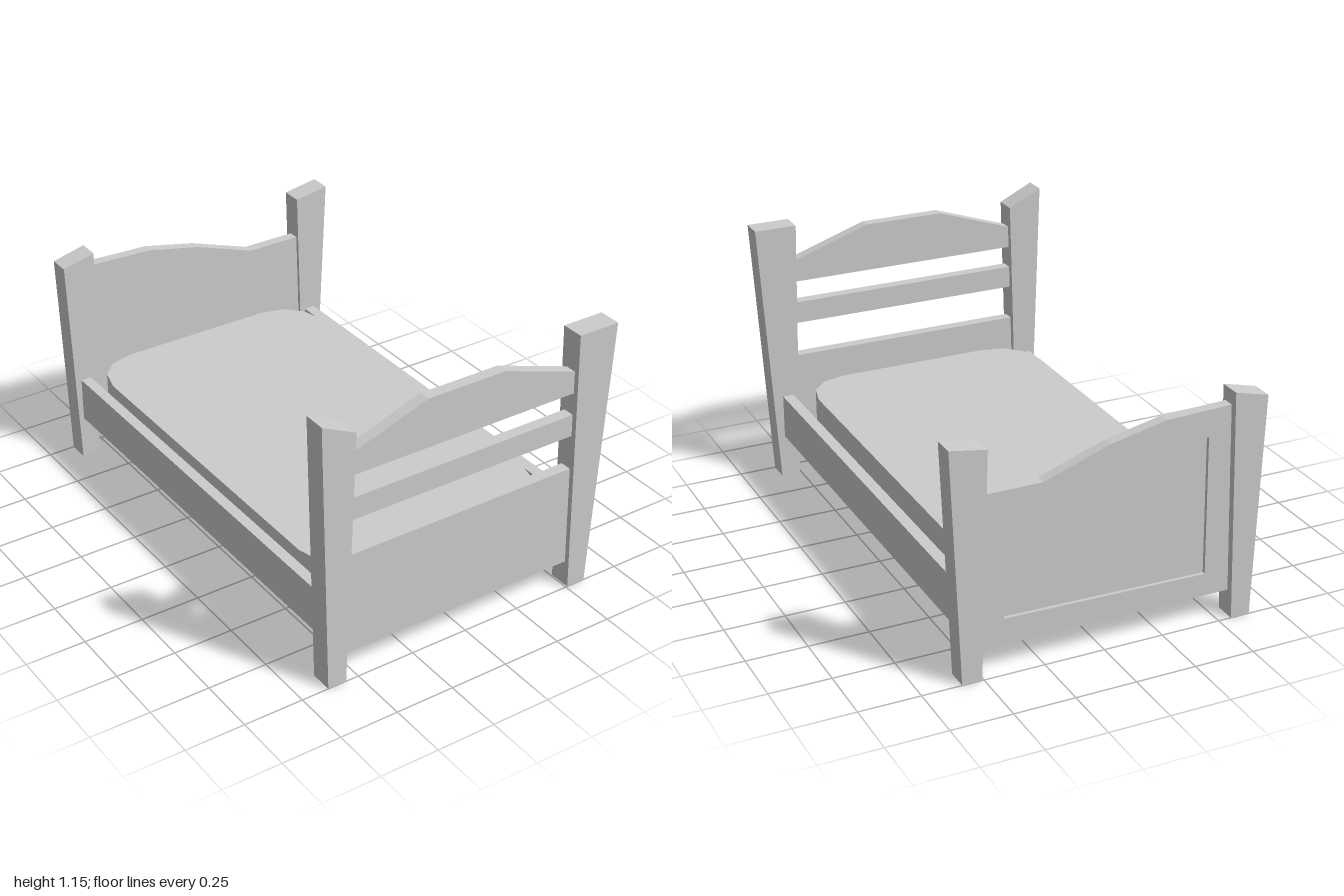
import * as THREE from 'three';

const material = new THREE.MeshStandardMaterial({ color: 0xcccccc, flatShading: true });

// Inner faces of the tapered posts at height y
const innerLeft = (y) => -0.555 + 0.032 * y;
const innerRight = (y) => 0.507 - 0.023 * y;

function toShape(points) {
  return new THREE.Shape(points.map(([x, y]) => new THREE.Vector2(x, y)));
}

// Extrudes a front outline between two depths
function slab(name, points, z0, z1, hole) {
  const shape = toShape(points);
  if (hole) shape.holes.push(toShape(hole));
  const geometry = new THREE.ExtrudeGeometry(shape, { depth: z1 - z0, bevelEnabled: false });
  geometry.translate(0, 0, z0);
  const mesh = new THREE.Mesh(geometry, material);
  mesh.name = name;
  return mesh;
}

// Board between two posts: straight bottom, top given from right to left
function boardOutline(bottom, rightTop, middle, leftTop) {
  return [
    [innerLeft(bottom), bottom], [innerRight(bottom), bottom],
    [innerRight(rightTop), rightTop], ...middle, [innerLeft(leftTop), leftTop],
  ];
}

function box(name, x0, x1, y0, y1, z0, z1) {
  const geometry = new THREE.BoxGeometry(x1 - x0, y1 - y0, z1 - z0);
  geometry.translate((x0 + x1) / 2, (y0 + y1) / 2, (z0 + z1) / 2);
  const mesh = new THREE.Mesh(geometry, material);
  mesh.name = name;
  return mesh;
}

export function createModel() {
  const bed = new THREE.Group();
  bed.name = 'bed';

  // Crooked tapered posts
  const posts = [
    ['tallPostRight', [[-0.635, 0], [-0.555, 0], [-0.52, 1.08], [-0.665, 1.15]], 0.905, 1],
    ['tallPostLeft', [[0.507, 0], [0.59, 0], [0.66, 1.15], [0.48, 1.15]], 0.905, 1],
    ['shortPostRight', [[-0.635, 0], [-0.555, 0], [-0.524, 0.96], [-0.665, 0.925]], -1, -0.91],
    ['shortPostLeft', [[0.507, 0], [0.588, 0], [0.635, 0.96], [0.484, 0.935]], -1, -0.91],
  ];
  for (const post of posts) bed.add(slab(...post));

  // Slatted end: panel, slat and arched top rail
  const slats = [
    ['slattedEndPanel', boardOutline(0.11, 0.55, [], 0.55)],
    ['slattedEndSlat', boardOutline(0.7, 0.795, [], 0.795)],
    ['slattedEndArch', boardOutline(0.89, 0.985, [[0.15, 1.097], [-0.195, 1.097]], 0.985)],
  ];
  for (const [name, outline] of slats) bed.add(slab(name, outline, 0.93, 0.978));

  // Solid end with a wavy top and a recessed field on its outer side
  const solid = boardOutline(0.11, 0.745, [[0.25, 0.745], [-0.02, 0.84], [-0.25, 0.89]], 0.9);
  const field = [[-0.445, 0.205], [0.405, 0.22], [0.4, 0.635], [0.1, 0.685], [-0.14, 0.765], [-0.435, 0.785]];
  bed.add(slab('solidEndPanel', solid, -0.955, -0.925));
  bed.add(slab('solidEndFrame', solid, -0.97, -0.955, field));

  // Side rails
  bed.add(box('sideRailRight', -0.62, -0.575, 0.19, 0.38, -0.91, 0.905));
  bed.add(box('sideRailLeft', 0.522, 0.57, 0.19, 0.38, -0.91, 0.905));

  // Mattress with faceted round corners
  const corner = [[0.525, 0.71], [0.5, 0.81], [0.435, 0.877], [0.335, 0.903]];
  const outline = [];
  for (const [sx, sz] of [[1, 1], [-1, 1], [-1, -1], [1, -1]]) {
    const points = corner.map(([x, z]) => [x * sx, z * sz]);
    outline.push(...(sx * sz > 0 ? points : points.reverse()));
  }
  const mattress = slab('mattress', outline, 0, 0.18);
  mattress.geometry.rotateX(-Math.PI / 2);
  mattress.geometry.translate(-0.045, 0.25, -0.005);
  bed.add(mattress);

  return bed;
}
